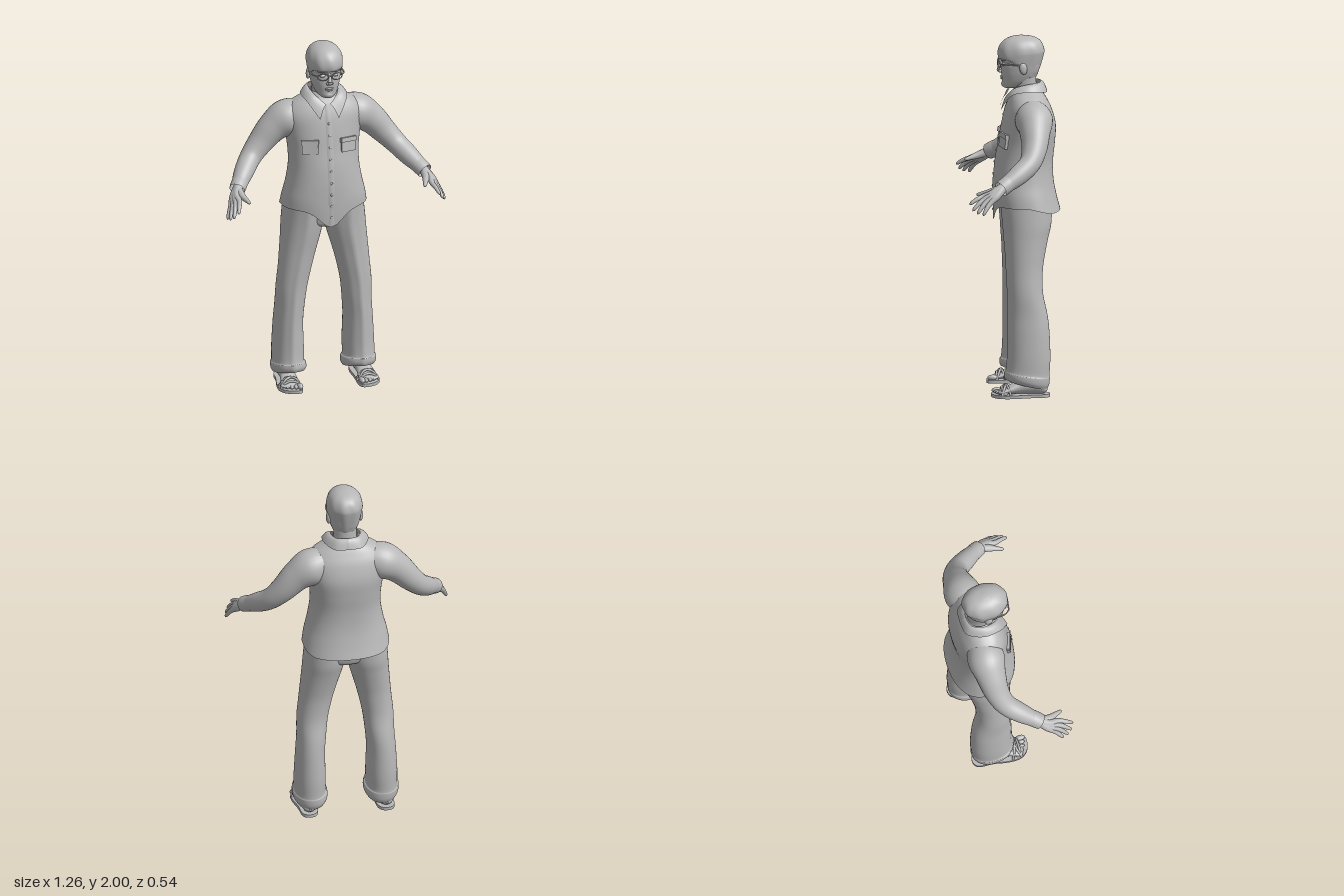
import * as THREE from 'three';
import { mergeVertices } from 'three/addons/utils/BufferGeometryUtils.js';

const clay = new THREE.MeshStandardMaterial({ color: 0xb8b8b8, side: THREE.DoubleSide });
clay.name = 'light grey';
const V = (p) => new THREE.Vector3(...p);

// Smooth surface from a function of (u, v)
function grid(fn, nu, nv) {
  const pos = [], idx = [];
  for (let j = 0; j <= nv; j++) for (let i = 0; i <= nu; i++) pos.push(...fn(i / nu, j / nv));
  for (let j = 0; j < nv; j++) for (let i = 0; i < nu; i++) {
    const a = j * (nu + 1) + i, b = a + 1, c = a + nu + 1, d = c + 1;
    idx.push(a, b, c, b, d, c);
  }
  let g = new THREE.BufferGeometry();
  g.setAttribute('position', new THREE.Float32BufferAttribute(pos, 3));
  g.setIndex(idx);
  g = mergeVertices(g, 1e-5);
  g.computeVertexNormals();
  return g;
}

// Smooth interpolation through rows of numbers
function sample(rows, t) {
  const f = t * (rows.length - 1), i = Math.min(Math.floor(f), rows.length - 2), s = f - i;
  const r = (k) => rows[Math.max(0, Math.min(rows.length - 1, k))];
  return rows[0].map((_, k) => {
    const a = r(i - 1)[k], b = r(i)[k], c = r(i + 1)[k], d = r(i + 2)[k];
    return b + 0.5 * s * (c - a + s * (2 * a - 5 * b + 4 * c - d + s * (3 * (b - c) + d - a)));
  });
}

// Upright loft, each row is [y, centre x, half width, front z, back z]
function loft(rows, bend = (p) => p, power = 0.9, seg = 48) {
  const sp = (v) => Math.sign(v) * Math.abs(v) ** power;
  return grid((u, v) => {
    const [y, cx, rx, zf, zb] = sample(rows, v), a = u * Math.PI * 2;
    return bend([cx + rx * sp(Math.sin(a)), y, (zf + zb) / 2 + (zf - zb) / 2 * sp(Math.cos(a))], a);
  }, seg, (rows.length - 1) * 5);
}

// Round limb along a path with varying radius, with an optional rounded tip
function limb(points, radii, tip = false, seg = 16, n = 24) {
  const curve = new THREE.CatmullRomCurve3(points.map(V)), fr = curve.computeFrenetFrames(n);
  return grid((u, v) => {
    const a = u * Math.PI * 2, k = Math.round(v * n);
    let r = sample(radii.map((x) => [x]), v)[0];
    if (tip && v > 0.9) r *= Math.sqrt(Math.max(0, 1 - ((v - 0.9) / 0.1) ** 2));
    return curve.getPoint(v).addScaledVector(fr.normals[k], r * Math.cos(a))
      .addScaledVector(fr.binormals[k], r * Math.sin(a)).toArray();
  }, seg, n);
}

function add(parent, name, geometry, at = [0, 0, 0], scale = [1, 1, 1], rot = [0, 0, 0]) {
  const m = new THREE.Mesh(geometry, clay);
  m.name = name;
  m.position.set(...at);
  m.scale.set(...scale);
  m.rotation.set(...rot);
  parent.add(m);
  return m;
}

const ball = new THREE.SphereGeometry(1, 24, 16);

const torso = [
  [1.06, 0, 0.243, 0.1, -0.27], [1.12, 0, 0.232, 0.103, -0.25], [1.2, 0, 0.212, 0.1, -0.232],
  [1.3, 0, 0.197, 0.09, -0.23], [1.4, 0, 0.2, 0.072, -0.24], [1.5, 0, 0.215, 0.055, -0.245],
  [1.59, 0, 0.225, 0.035, -0.222], [1.65, 0, 0.185, 0.012, -0.192], [1.69, 0, 0.115, -0.01, -0.168],
  [1.72, 0, 0.07, -0.02, -0.15],
];
// Front depth of the shirt at a height
function frontZ(y) {
  if (y < 1.06) return 0.1;
  const i = torso.findIndex((r) => r[0] >= y), a = torso[Math.max(0, i - 1)], b = torso[Math.max(1, i)];
  return a[3] + (b[3] - a[3]) * (y - a[0]) / (b[0] - a[0]);
}

function buildShirt(g) {
  // Curved hem dips at the front and slightly at the back
  add(g, 'shirt', loft(torso, ([x, y, z], a) => {
    const w = Math.max(0, (1.2 - y) / 0.14), c = Math.cos(a);
    const dip = c > 0 ? 0.1 * Math.exp(-((x / 0.085) ** 2)) * Math.min(1, c * 2) : 0.035 * Math.min(1, -c * 1.6);
    return [x, y - w * dip, z];
  }, 0.88, 64));
  add(g, 'buttonPlacket', grid((u, v) => {
    const y = 0.97 + v * 0.69;
    return [(u - 0.5) * 0.036, y, frontZ(y) + 0.004 * Math.sin(u * Math.PI)];
  }, 6, 30));
  for (let i = 0; i < 9; i++) {
    const y = 1.02 + i * 0.067;
    add(g, 'button', ball, [0, y, frontZ(y) + 0.004], [0.007, 0.007, 0.004]);
  }
}

function buildSide(side) {
  // Collar wing, ruled between neck edge and outer edge
  const inner = [[0, 1.745, -0.165], [0.06, 1.742, -0.145], [0.082, 1.735, -0.08], [0.06, 1.71, -0.01], [0.012, 1.665, 0.028]];
  const outer = [[0, 1.69, -0.198], [0.08, 1.69, -0.183], [0.128, 1.7, -0.095], [0.112, 1.68, 0.005], [0.053, 1.59, 0.062]];
  add(side, 'collar', grid((u, v) => {
    const a = sample(inner, u), b = sample(outer, u);
    const p = a.map((k, i) => k + (b[i] - k) * v);
    p[1] += 0.012 * Math.sin(v * Math.PI);
    return p;
  }, 24, 6));

  // Sleeve and cuff
  add(side, 'sleeve', limb(
    [[0.11, 1.58, -0.105], [0.2, 1.555, -0.112], [0.28, 1.505, -0.112], [0.36, 1.42, -0.102], [0.42, 1.355, -0.072], [0.475, 1.3, -0.005], [0.535, 1.243, 0.085]],
    [0.085, 0.105, 0.086, 0.07, 0.06, 0.055, 0.041], false, 28, 40));
  add(side, 'cuff', limb([[0.512, 1.265, 0.05], [0.527, 1.251, 0.073], [0.54, 1.238, 0.093]], [0.046, 0.046, 0.044], false, 24, 4));

  // Fingers run from the wrist so that their roots form the palm
  const knuckles = [[0.553, 1.202, 0.19], [0.573, 1.188, 0.188], [0.587, 1.176, 0.177], [0.594, 1.168, 0.158]];
  const tips = [[0.578, 1.16, 0.272], [0.602, 1.128, 0.256], [0.617, 1.112, 0.23], [0.624, 1.105, 0.198]];
  knuckles.forEach((k, i) => {
    const mid = k.map((c, j) => (c + tips[i][j]) / 2 + (j === 1 ? 0.005 : 0));
    add(side, 'finger', limb([[0.53, 1.247, 0.08], [0.556 + i * 0.006, 1.217 - i * 0.006, 0.14 - i * 0.005], k, mid, tips[i]],
      [0.028, 0.022, 0.015, 0.012, 0.009], true));
  });
  add(side, 'thumb', limb([[0.535, 1.24, 0.09], [0.53, 1.222, 0.145], [0.515, 1.21, 0.19], [0.502, 1.2, 0.229]], [0.024, 0.021, 0.014, 0.009], true));

  // Breast pocket with flap
  const pocket = new THREE.BoxGeometry(0.09, 0.078, 0.03, 4, 4, 2);
  add(side, 'pocket', pocket, [0.106, 1.425, 0.043], [1, 1, 1], [-0.15, 0.33, 0]);
  add(side, 'pocketFlap', pocket, [0.107, 1.455, 0.043], [1.08, 0.32, 1.15], [-0.15, 0.33, 0]);

  // Trouser leg with a pressed front crease and a turned hem
  const leg = [
    [0.068, 0.2, 0.086, 0.038, -0.185], [0.09, 0.2, 0.097, 0.045, -0.196], [0.12, 0.202, 0.096, 0.044, -0.2],
    [0.135, 0.203, 0.088, 0.037, -0.198], [0.22, 0.202, 0.087, 0.03, -0.203], [0.36, 0.2, 0.081, 0.027, -0.198],
    [0.46, 0.193, 0.081, 0.027, -0.187], [0.58, 0.184, 0.087, 0.028, -0.163], [0.7, 0.165, 0.094, 0.033, -0.163],
    [0.79, 0.149, 0.102, 0.037, -0.176], [0.88, 0.132, 0.111, 0.044, -0.195], [0.96, 0.121, 0.116, 0.05, -0.213],
    [1.08, 0.114, 0.11, 0.06, -0.22],
  ];
  add(side, 'trouserLeg', loft(leg, ([x, y, z], a) => {
    const c = Math.cos(a) > 0 ? 0.009 * Math.exp(-((Math.sin(a) / 0.16) ** 2)) : 0;
    return [x, y < 0.2 ? y + (0.2 - y) * (z + 0.07) * 1.8 : y, z + c];
  }, 0.95));

  // Sandal sole
  const s = new THREE.Shape();
  s.moveTo(0.215, 0.2);
  s.bezierCurveTo(0.15, 0.2, 0.165, 0.1, 0.165, 0.03);
  s.bezierCurveTo(0.165, -0.03, 0.145, -0.12, 0.185, -0.127);
  s.bezierCurveTo(0.24, -0.13, 0.292, -0.1, 0.289, -0.03);
  s.bezierCurveTo(0.287, 0.04, 0.265, 0.07, 0.265, 0.13);
  s.bezierCurveTo(0.265, 0.18, 0.25, 0.2, 0.215, 0.2);
  const sole = new THREE.ExtrudeGeometry(s, { depth: 0.018, bevelEnabled: false, curveSegments: 10 });
  add(side, 'sandalSole', sole.rotateX(-Math.PI / 2));

  // Foot is a loft laid along z, its rows run from heel to toes
  const foot = [
    [-0.185, 0.216, 0.005, -0.035, -0.045], [-0.165, 0.216, 0.038, -0.018, -0.085], [-0.1, 0.216, 0.044, -0.018, -0.11],
    [-0.03, 0.218, 0.044, -0.018, -0.095], [0.03, 0.222, 0.051, -0.018, -0.065], [0.075, 0.224, 0.054, -0.018, -0.042], [0.092, 0.224, 0.01, -0.022, -0.03],
  ];
  add(side, 'foot', loft(foot, undefined, 1, 28).rotateX(Math.PI / 2));
  for (let i = 0; i < 5; i++) {
    const r = i ? 0.0125 - i * 0.0006 : 0.016;
    add(side, 'toe', ball, [0.178 + i * 0.0232, 0.018 + r * 0.8, 0.092 - i * i * 0.0022], [r, r, r * 1.9]);
  }
  // Two crossing straps over the instep and one at the toes
  const straps = [[0.02, 0.07, 0.066], [0.07, 0.02, 0.068], [0.072, 0.066, 0.052]];
  straps.forEach(([za, zb, h]) => add(side, 'sandalStrap', limb(
    [[0.167, 0.016, za], [0.19, h * 0.9, za * 0.7 + zb * 0.3], [0.222, h + 0.004, (za + zb) / 2], [0.255, h * 0.87, za * 0.3 + zb * 0.7], [0.28, 0.016, zb]],
    [0.007, 0.007, 0.007], false, 8)));

  // Ear, eye, brow and spectacle rim
  add(side, 'ear', ball, [0.091, 1.828, -0.06], [0.013, 0.034, 0.022], [0.15, 0.25, 0]);
  add(side, 'eye', ball, [0.037, 1.845, 0.046], [0.016, 0.009, 0.012]);
  add(side, 'brow', ball, [0.038, 1.872, 0.052], [0.028, 0.007, 0.012], [0, 0.3, 0]);
  add(side, 'spectacleRim', new THREE.TorusGeometry(0.03, 0.0035, 8, 28), [0.04, 1.845, 0.071], [1, 0.66, 1], [0, 0.18, 0]);
  add(side, 'spectacleArm', limb([[0.07, 1.853, 0.066], [0.088, 1.852, 0.04], [0.094, 1.848, -0.05]], [0.004, 0.004, 0.004], false, 8));
  add(side, 'nostril', ball, [0.011, 1.801, 0.063], [0.009, 0.008, 0.011]);
}

function buildHead(g) {
  add(g, 'neck', limb([[0, 1.62, -0.09], [0, 1.7, -0.077], [0, 1.8, -0.068]], [0.075, 0.064, 0.068], false, 28));
  add(g, 'head', loft([
    [1.704, 0, 0.002, 0.015, 0.005], [1.708, 0, 0.03, 0.042, -0.025], [1.725, 0, 0.052, 0.053, -0.07], [1.75, 0, 0.067, 0.054, -0.115],
    [1.79, 0, 0.08, 0.057, -0.145], [1.83, 0, 0.087, 0.055, -0.158], [1.85, 0, 0.088, 0.052, -0.16],
    [1.88, 0, 0.089, 0.062, -0.16], [1.93, 0, 0.084, 0.052, -0.15], [1.97, 0, 0.05, 0.01, -0.12],
  ]));
  add(g, 'noseBridge', limb([[0, 1.862, 0.05], [0, 1.835, 0.06], [0, 1.806, 0.07]], [0.008, 0.01, 0.013], true));
  add(g, 'noseTip', ball, [0, 1.805, 0.067], [0.013, 0.011, 0.015]);
  add(g, 'upperLip', ball, [0, 1.769, 0.055], [0.025, 0.006, 0.008]);
  add(g, 'lowerLip', ball, [0, 1.759, 0.053], [0.021, 0.006, 0.009]);
  add(g, 'chin', ball, [0, 1.728, 0.041], [0.026, 0.018, 0.016]);
  add(g, 'spectacleBridge', limb([[-0.012, 1.85, 0.075], [0, 1.853, 0.078], [0.012, 1.85, 0.075]], [0.0035, 0.0035], false, 8));

  // Hair cap, short fringe at the front and long at the nape
  add(g, 'hair', loft([
    [1.872, 0, 0.086, 0.058, -0.15], [1.876, 0, 0.097, 0.072, -0.165], [1.905, 0, 0.1, 0.077, -0.182], [1.94, 0, 0.094, 0.068, -0.178],
    [1.97, 0, 0.077, 0.045, -0.16], [1.99, 0, 0.05, 0.01, -0.125], [1.999, 0, 0.018, -0.03, -0.075], [2, 0, 0.001, -0.05, -0.052],
  ], ([x, y, z], a) => {
    const b = THREE.MathUtils.smoothstep(-z, -0.03, 0.15), low = Math.max(0, 1.905 - y);
    const k = 1 + 0.012 * Math.sin(a * 9 + y * 20) * Math.min(1, (2 - y) * 20);
    return [x * k * (1 - low * b * 5), y - low * b * 3.4, (z + 0.05) * k - 0.05 + low * b * 0.8];
  }, 0.95, 64));
}

export function createModel() {
  const g = new THREE.Group();
  g.name = 'standingMan';
  buildShirt(g);
  buildHead(g);
  // Seat of the trousers joins the legs
  add(g, 'trouserSeat', loft([
    [0.92, 0, 0.03, -0.02, -0.12], [0.945, 0, 0.11, 0.03, -0.18], [0.98, 0, 0.18, 0.045, -0.205], [1.1, 0, 0.215, 0.06, -0.22],
  ]));
  for (const s of [1, -1]) {
    const side = new THREE.Group();
    side.name = s > 0 ? 'leftSide' : 'rightSide';
    buildSide(side);
    side.scale.x = s;
    g.add(side);
  }
  return g;
}
